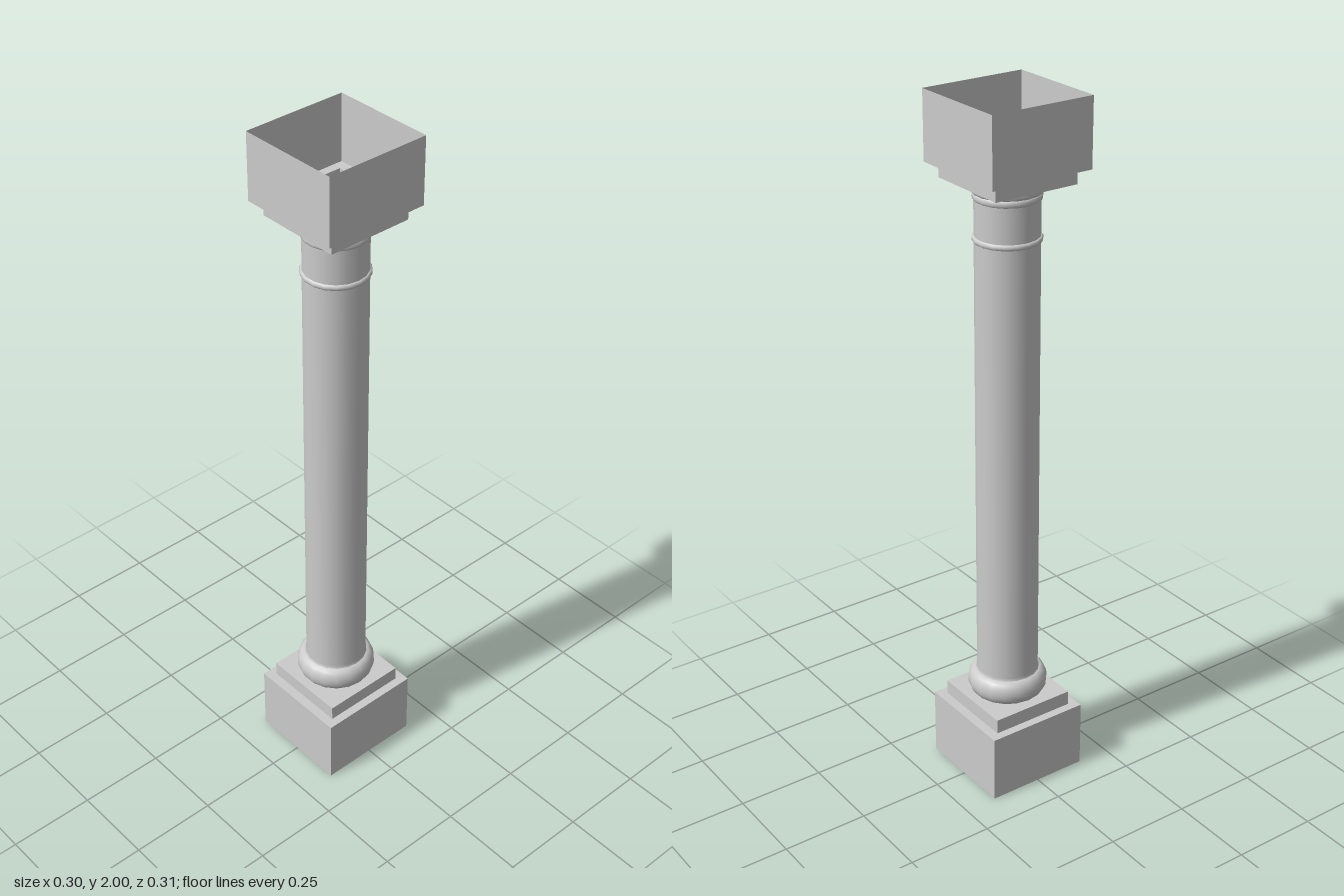
import * as THREE from 'three';

const material = new THREE.MeshStandardMaterial({ color: 0xcccccc, side: THREE.DoubleSide });
const SIDES = 18;
const BLOCK = [0.302, 0.307], SLAB = [0.252, 0.252], NECK = 0.09;

function add(parent, name, geometry, y = 0) {
  const mesh = new THREE.Mesh(geometry, material);
  mesh.name = name;
  mesh.position.y = y;
  parent.add(mesh);
  return mesh;
}

// Four walls of a box, open above and below
function walls([w, d], y0, y1) {
  const box = new THREE.BoxGeometry(w, y1 - y0, d).toNonIndexed();
  const open = new THREE.BufferGeometry();
  for (const key of ['position', 'normal', 'uv']) {
    const { array, itemSize } = box.attributes[key];
    const n = 6 * itemSize; // one box side is six corners; sides 2 and 3 are top and bottom
    const kept = [...array.slice(0, 2 * n), ...array.slice(4 * n)];
    open.setAttribute(key, new THREE.Float32BufferAttribute(kept, itemSize));
  }
  return open.translate(0, (y0 + y1) / 2, 0);
}

function rectangle([w, d], PathType = THREE.Shape) {
  return new PathType([[-1, -1], [1, -1], [1, 1], [-1, 1]]
    .map(([x, z]) => new THREE.Vector2(x * w / 2, z * d / 2)));
}

function circle(r) {
  return new THREE.Path(Array.from({ length: SIDES }, (_, i) => {
    const a = i / SIDES * Math.PI * 2;
    return new THREE.Vector2(r * Math.cos(a), r * Math.sin(a));
  }));
}

// Flat plate with an opening; up is 1 or -1
function plate(size, hole, up) {
  const shape = rectangle(size);
  if (hole) shape.holes.push(hole);
  return new THREE.ShapeGeometry(shape).rotateX(-up * Math.PI / 2);
}

function turned(points) {
  return new THREE.LatheGeometry(points.map(([r, y]) => new THREE.Vector2(r, y)), SIDES, Math.PI / 2);
}

// Half-round bead as profile points
function bead(r, bulge, y0, y1, steps) {
  return Array.from({ length: steps + 1 }, (_, i) => {
    const a = i / steps * Math.PI;
    return [r + bulge * Math.sin(a), (y0 + y1) / 2 - Math.cos(a) * (y1 - y0) / 2];
  });
}

export function createModel() {
  const column = new THREE.Group();
  column.name = 'column';

  // Hollow plinth with a stepped slab
  const base = new THREE.Group();
  base.name = 'base';
  column.add(base);
  add(base, 'plinthWalls', walls(BLOCK, 0, 0.2));
  add(base, 'plinthLedge', plate(BLOCK, rectangle(SLAB, THREE.Path), 1), 0.2);
  add(base, 'baseSlabWalls', walls(SLAB, 0.2, 0.243));
  add(base, 'baseSlabTop', plate(SLAB, null, 1), 0.243);
  add(base, 'baseTorus', turned(bead(0.088, 0.026, 0.243, 0.318, 10)));

  // Shaft with a thin necking ring
  add(column, 'shaft', turned([[0.091, 0.318], [0.088, 0.326], [0.0875, 1.612]]));
  add(column, 'neckRing', turned(bead(0.0875, 0.006, 1.612, 1.628, 6)));
  add(column, 'neck', turned([[0.0875, 1.628], [0.0875, 1.725]]));
  add(column, 'lowerCapitalRing', turned(bead(0.0875, 0.005, 1.725, 1.744, 6)));
  add(column, 'upperCapitalRing', turned(bead(NECK, 0.007, 1.744, 1.77, 6)));

  // Capital: stepped slab below a block that is open above
  const capital = new THREE.Group();
  capital.name = 'capital';
  column.add(capital);
  add(capital, 'capitalSlabBottom', plate(SLAB, circle(NECK), -1), 1.77);
  add(capital, 'capitalSlabWalls', walls(SLAB, 1.77, 1.81));
  add(capital, 'capitalLedge', plate(BLOCK, rectangle(SLAB, THREE.Path), -1), 1.81);
  add(capital, 'capitalWalls', walls(BLOCK, 1.81, 2));

  return column;
}
